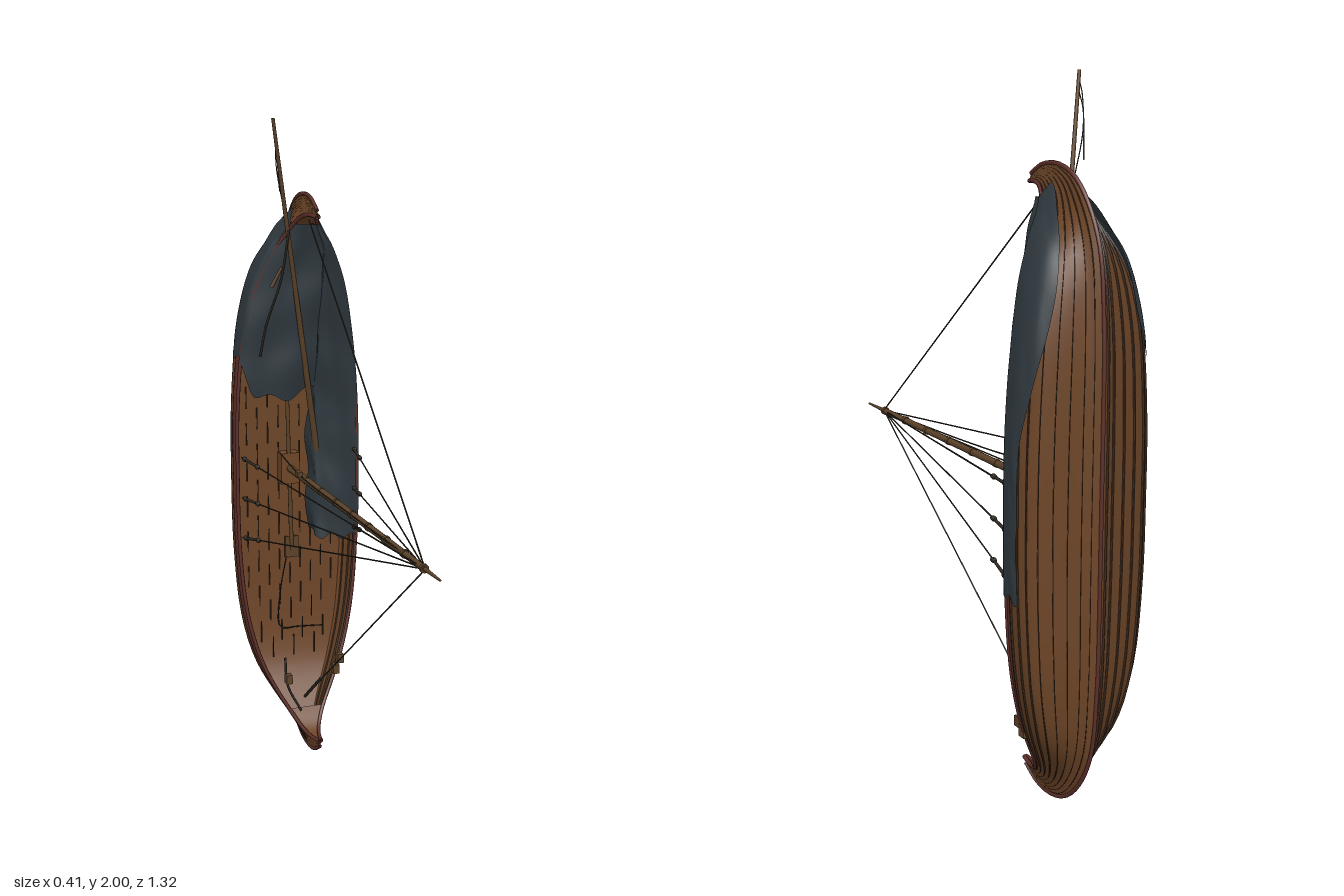
import * as THREE from 'three';
import { mergeGeometries } from 'three/addons/utils/BufferGeometryUtils.js';

const mat = (name, color, side = THREE.FrontSide) => {
  const m = new THREE.MeshStandardMaterial({ color, side });
  m.name = name;
  return m;
};
const V = (x, y, z) => new THREE.Vector3(x, y, z);
const { lerp, smoothstep } = THREE.MathUtils;

// Stations from the tip to amidships: sheer y, sheer z, half width, keel y, keel z
const MID = 0.89;
const HALF = [
  [0.065, -0.3, 0.003, 0.045, -0.305], [0.062, -0.345, 0.012, 0.014, -0.36],
  [0.075, -0.39, 0.026, 0.006, -0.43], [0.12, -0.43, 0.052, 0.028, -0.505],
  [0.2, -0.46, 0.096, 0.09, -0.572], [0.3, -0.48, 0.138, 0.2, -0.628],
  [0.45, -0.494, 0.174, 0.4, -0.652], [0.65, -0.5, 0.193, 0.65, -0.656],
  [MID, -0.5, 0.197, MID, -0.656],
];
const STATIONS = [...HALF, ...HALF.slice(0, -1).reverse()
  .map(([sy, sz, w, ky, kz]) => [2 * MID - sy, sz, w, 2 * MID - ky, kz])];
const sheer = new THREE.CatmullRomCurve3(STATIONS.map(([y, z, w]) => V(w, y, z)));
const keel = new THREE.CatmullRomCurve3(STATIONS.map((s) => V(0, s[3], s[4])));
// Cross-sections, full amidships and hollow at the ends:
// x = share of half width, y = share of depth above the keel
const profile = (pts) => new THREE.CatmullRomCurve3(pts.map(([x, y]) => V(x, y, 0)));
const fullSection = profile([[0, 0], [0.2, 0.13], [0.55, 0.22], [0.88, 0.36], [1, 0.62], [1, 1]]);
const endSection = profile([[0, 0], [0.16, 0.18], [0.34, 0.36], [0.58, 0.56], [0.82, 0.77], [1, 1]]);

// Point on the hull: u along the length, s from keel to sheer, off = outward offset
function hullPoint(u, s, side, off = 0) {
  const a = keel.getPoint(u), b = sheer.getPoint(u), w = b.x;
  const full = smoothstep(w, 0.06, 0.18);
  const p = endSection.getPoint(s).lerp(fullSection.getPoint(s), full);
  const t = endSection.getTangent(s).lerp(fullSection.getTangent(s), full);
  const d = V(0, b.y - a.y, b.z - a.z), depth = d.length();
  const n = V(t.y * depth, 0, 0).addScaledVector(d.clone().normalize(), -t.x * w).normalize();
  const q = V(p.x * w, a.y, a.z).addScaledVector(d, p.y);
  q.addScaledVector(n, off * Math.min(1, w / 0.08));
  q.x *= side;
  return q;
}

// Length parameter at which the sheer reaches height y
function uAt(y) {
  let lo = 0.1, hi = 0.9;
  for (let i = 0; i < 24; i++) {
    const m = (lo + hi) / 2;
    if (sheer.getPoint(m).y < y) lo = m; else hi = m;
  }
  return lo;
}

// Surface grid from a point function
function grid(fn, nu, nv) {
  const pos = [], idx = [];
  for (let i = 0; i <= nu; i++)
    for (let j = 0; j <= nv; j++) pos.push(...fn(i / nu, j / nv).toArray());
  for (let i = 0; i < nu; i++)
    for (let j = 0; j < nv; j++) {
      const a = i * (nv + 1) + j, b = a + nv + 1;
      idx.push(a, b, a + 1, b, b + 1, a + 1);
    }
  const g = new THREE.BufferGeometry();
  g.setAttribute('position', new THREE.Float32BufferAttribute(pos, 3));
  g.setIndex(idx);
  g.computeVertexNormals();
  return g;
}

export function createModel() {
  const root = new THREE.Group();
  root.name = 'sailingBoat';
  const wood = mat('hull wood', 0x6d4527, THREE.DoubleSide);
  const seam = mat('dark seam', 0x38271b, THREE.DoubleSide);
  const red = mat('red rail', 0x5e302a, THREE.DoubleSide);
  const sparWood = mat('spar wood', 0x5c4229);
  const cloth = mat('sail cloth', 0x30393f, THREE.DoubleSide);
  const cord = mat('rope', 0x2d2922);
  const add = (name, geo, material) => {
    const m = new THREE.Mesh(geo, material);
    m.name = name;
    root.add(m);
    return m;
  };
  const box = (x, y, z, w, h, d) => new THREE.BoxGeometry(w, h, d).translate(x, y, z);
  const rope = (name, pts, r = 0.0022) => add(name, new THREE.TubeGeometry(
    new THREE.CatmullRomCurve3(pts), pts.length > 2 ? 20 : 1, r, 5), cord);
  const spar = (name, a, b, r0, r1, material = sparWood) => {
    const dir = b.clone().sub(a);
    const m = add(name, new THREE.CylinderGeometry(r1, r0, dir.length(), 10), material);
    m.position.copy(a).add(b).multiplyScalar(0.5);
    m.quaternion.setFromUnitVectors(V(0, 1, 0), dir.normalize());
    return m;
  };

  // Overlapping hull planks with a dark lower edge; the top plank is red
  const N = 9, planks = [], edges = [], topPlanks = [];
  for (const side of [1, -1])
    for (let i = 0; i < N; i++) {
      const s0 = i / N, s1 = (i + 1) / N, lap = i ? 0.005 : 0;
      (i === N - 1 ? topPlanks : planks).push(
        grid((u, v) => hullPoint(u, lerp(s0, s1, v), side, lap * (1 - v)), 64, 2));
      if (i) edges.push(grid((u, v) =>
        hullPoint(u, s0 + 0.01 * v, side, lerp(-0.001, 0.0056, Math.min(1, v * 2))), 64, 2));
    }
  add('hullPlanks', mergeGeometries(planks), wood);
  add('topPlanks', mergeGeometries(topPlanks), red);
  add('plankEdges', mergeGeometries(edges), seam);

  // Rails, keel and stems
  for (const side of [1, -1]) {
    const pts = Array.from({ length: 41 }, (_, i) => hullPoint(i / 40, 0.985, side));
    add(side > 0 ? 'leftRail' : 'rightRail',
      new THREE.TubeGeometry(new THREE.CatmullRomCurve3(pts), 80, 0.006, 6), red);
  }
  add('keel', new THREE.TubeGeometry(keel, 80, 0.006, 6), red);
  // Closed decks at both ends between the rails
  for (const [a, b, name] of [[0, 0.2, 'lowerEndDeck'], [0.8, 1, 'upperEndDeck']])
    add(name, grid((u, v) => {
      const p = hullPoint(lerp(a, b, u), 0.93, 1);
      p.x *= 2 * v - 1;
      return p;
    }, 12, 2), wood);

  // Inner floor with broken board seams
  const FLOOR = 0.62;
  add('floor', grid((u, v) => {
    const p = hullPoint(lerp(0.19, 0.81, u), FLOOR, 1);
    p.x *= (2 * v - 1) * 0.99;
    return p;
  }, 40, 2), wood);
  const gaps = [];
  for (let k = -4; k <= 4; k++)
    for (let j = 0; j < 11; j++) {
      const y = 0.3 + j * 0.118 + (k & 1) * 0.05;
      const p = hullPoint(uAt(y), FLOOR, 1);
      if (Math.abs(k * 0.035) < p.x - 0.015)
        gaps.push(box(k * 0.035, y, p.z + 0.003, 0.003, 0.07, 0.004));
    }
  add('floorSeams', mergeGeometries(gaps), seam);

  // Mast, bands, step and stowed oar
  const top = V(-0.008, 0.895, 0.56);
  spar('mast', V(-0.008, 0.895, -0.62), top, 0.012, 0.009);
  spar('mastTip', top, V(-0.008, 0.895, 0.66), 0.006, 0.003);
  for (let z = -0.4; z < 0.56; z += 0.135)
    spar('mastBand', V(-0.008, 0.895, z), V(-0.008, 0.895, z + 0.012), 0.0125, 0.0125);
  add('mastStep', box(-0.008, 0.895, -0.58, 0.06, 0.1, 0.05), wood);
  spar('oarShaft', V(0, 0.62, -0.575), V(-0.02, 1.2, -0.55), 0.007, 0.006);
  add('oarBlade', box(0, 0.63, -0.575, 0.045, 0.07, 0.008), sparWood);
  rope('deckRope', [V(-0.02, 0.6, -0.57), V(-0.04, 0.48, -0.575), V(-0.04, 0.36, -0.575), V(0.02, 0.355, -0.575), V(0.1, 0.355, -0.56)]);

  // Stays and shrouds with tackles
  rope('upperStay', [top, V(0, 1.7, -0.38)]);
  rope('lowerStay', [top, V(0, 0.16, -0.45)]);
  spar('lowerStayTackle', V(0, 0.285, -0.285), V(0, 0.16, -0.45), 0.005, 0.005, cord);
  for (const side of [1, -1])
    for (const y of [0.96, 0.83, 0.7]) {
      const foot = V(side * 0.185, y, -0.5);
      rope('shroud', [top, foot]);
      const a = foot.clone().lerp(top, 0.02), b = foot.clone().lerp(top, 0.1);
      spar('shroudTackle', a, b, 0.005, 0.004, cord);
      for (const p of [a, b]) {
        const block = add('pulley', new THREE.SphereGeometry(0.008, 8, 6), cord);
        block.position.copy(p);
        block.scale.z = 1.7;
      }
    }
  rope('halyard', [top, V(-0.03, 0.91, 0), V(-0.05, 0.93, -0.33), V(-0.055, 0.96, -0.52)]);
  add('halyardBlock', box(-0.053, 0.935, -0.335, 0.016, 0.016, 0.03), sparWood);

  // Yard with loose lines at its head
  const head = V(-0.12, 2, -0.345);
  spar('yard', V(0.1, 0.75, -0.54), head, 0.011, 0.005);
  rope('yardLine', [V(-0.118, 1.97, -0.35), V(-0.1, 1.94, -0.39), V(-0.09, 1.85, -0.41), V(-0.07, 1.72, -0.4)], 0.0016);
  rope('yardLine', [V(-0.115, 1.95, -0.35), V(-0.09, 1.9, -0.41), V(-0.07, 1.78, -0.445)], 0.0016);
  rope('sailRope', [V(-0.06, 1.67, -0.39), V(-0.08, 1.52, -0.41), V(-0.115, 1.38, -0.45), V(-0.13, 1.28, -0.47)], 0.004);
  spar('sailRopeToggle', V(-0.11, 1.5, -0.41), V(-0.08, 1.56, -0.4), 0.006, 0.004);

  // Lowered sail: tent from a ridge over the rail, hanging down outside the hull
  const ridgeZ = (y) => -0.5 + 0.185 * Math.max(0, y - 1.05);
  const drapeTo = (y) => lerp(0.78, 0.5, smoothstep(y, 1.0, 1.45));
  const drape = (side, hem) => (t, v) => {
    const y = lerp(hem(v), 1.685, t), u = uAt(y);
    const ridge = V(0.05 - 0.03 * smoothstep(y, 1.6, 1.7), y, ridgeZ(y));
    if (v < 0.12 && side > 0) return ridge.add(V(0.006 * Math.sin(y * 30), 0, -0.07 * (1 - v / 0.12)));
    const k = side > 0 ? (v - 0.12) / 0.88 : v;
    const fold = 0.006 * Math.sin(k * 16 + y * 9) + 0.004 * Math.sin(y * 31 + k * 5);
    const loose = 0.006 + 0.014 * smoothstep(y, 1.3, 1.6);
    if (k < 0.6) {
      const f = k / 0.6, p = ridge.lerp(hullPoint(u, 1, side, loose), f);
      p.z += (0.03 * Math.sin(f * Math.PI) * (side > 0 ? 0.7 : 0.2) + fold) * (1 - f * 0.6);
      return p;
    }
    const f = (k - 0.6) / 0.4;
    return hullPoint(u, lerp(1, drapeTo(y), f), side, loose + 0.4 * Math.abs(fold) * f);
  };
  add('leftSail', grid(drape(1, (v) => 0.69 - 0.035 * v + 0.01 * Math.sin(v * 25)), 60, 32), cloth);
  add('rightSail', grid(drape(-1, (v) =>
    1.17 - 0.03 * Math.sin(Math.min(1, v / 0.55) * Math.PI) + 0.1 * smoothstep(v, 0.45, 0.65)
    + 0.012 * Math.sin(v * 23)), 36, 32), cloth);

  // Mooring fittings near the lower end
  for (const [x, y] of [[0.125, 0.27], [0.11, 0.235], [-0.05, 0.22]])
    add('cleat', box(x, y, -0.467, 0.02, 0.03, 0.025), sparWood);
  rope('mooringRope', [V(-0.05, 0.28, -0.5), V(-0.055, 0.2, -0.46), V(-0.02, 0.12, -0.43)], 0.004);
  return root;
}
